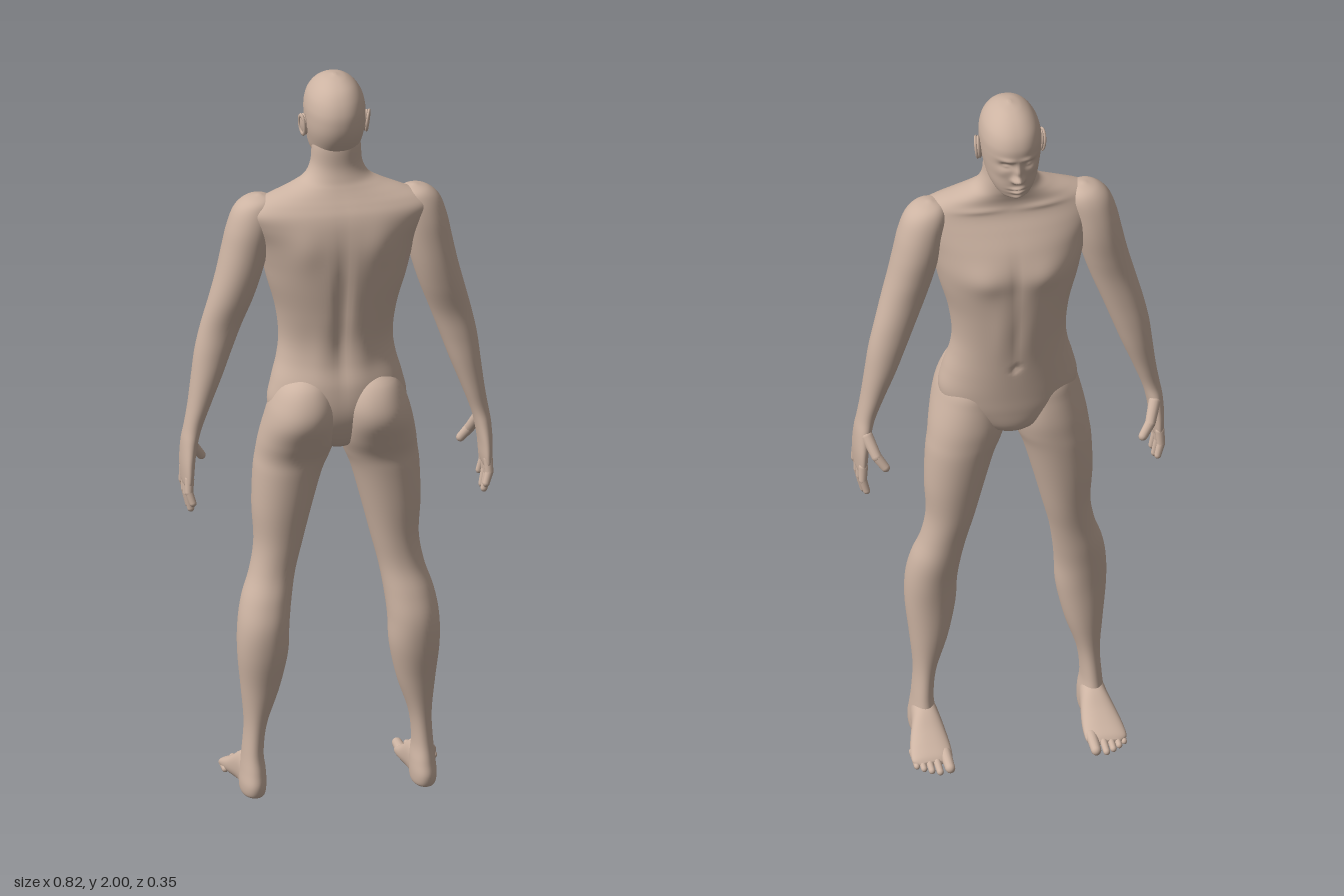
import * as THREE from 'three';

const skin = new THREE.MeshStandardMaterial({ color: 0xccb3a2 });
skin.name = 'skin';

// Catmull-Rom blend of a table of cross-section rows, u from 0 to 1
function sampleRows(rows, u) {
  const f = u * (rows.length - 1);
  const i = Math.min(Math.floor(f), rows.length - 2);
  const t = f - i;
  const row = (k) => rows[Math.max(0, Math.min(rows.length - 1, k))];
  const [a, b, c, d] = [row(i - 1), row(i), row(i + 1), row(i + 2)];
  return b.map((p, k) => p + 0.5 * t * (c[k] - a[k]
    + t * (2 * a[k] - 5 * p + 4 * c[k] - d[k] + t * (3 * (p - c[k]) + d[k] - a[k]))));
}

// Soft swellings and hollows: [side (-1 front, 1 back), x, y, width, height, amount]
function relief(bumps, x, y, s) {
  let dz = 0;
  for (const [side, bx, by, w, h, amount] of bumps) {
    if (side * s <= 0) continue;
    const dx = (Math.abs(x) - bx) / w, dy = (y - by) / h;
    dz += side * amount * Math.abs(s) * Math.exp(-dx * dx - dy * dy);
  }
  return dz;
}

// Smooth closed skin over rows [position, x0, x1, low, high].
// Along 'y', low/high are front/back z. Along 'z', they are bottom/top y.
function loft(rows, { axis = 'y', side = 1, round = 2.1, rings = 70, segs = 48, bumps = [] } = {}) {
  const pos = [], index = [];
  const power = (v) => Math.sign(v) * Math.abs(v) ** (2 / round);
  for (let r = 0; r <= rings; r++) {
    const [p, x0, x1, lo, hi] = sampleRows(rows, r / rings);
    for (let k = 0; k < segs; k++) {
      const a = (k / segs) * Math.PI * 2, s = Math.sin(a);
      const x = (x0 + x1) / 2 + ((x1 - x0) / 2) * power(Math.cos(a));
      const v = (lo + hi) / 2 + ((hi - lo) / 2) * power(s);
      if (axis === 'y') pos.push(side * x, p, v + relief(bumps, x, p, s));
      else pos.push(side * x, v, p);
    }
  }
  // End caps meet at one centre point each
  const centre = (row) => {
    const [p, x0, x1, lo, hi] = row, x = side * (x0 + x1) / 2, v = (lo + hi) / 2;
    pos.push(...(axis === 'y' ? [x, p, v] : [x, v, p]));
    return pos.length / 3 - 1;
  };
  const start = centre(rows[0]), end = centre(rows[rows.length - 1]);
  // Keep faces outward whichever way the rows run
  const flip = (rows[0][0] < rows[rows.length - 1][0]) !== (axis === 'y') !== (side < 0);
  const tri = (a, b, c) => (flip ? index.push(a, b, c) : index.push(a, c, b));
  for (let k = 0; k < segs; k++) {
    const n = (k + 1) % segs, last = rings * segs;
    for (let r = 0; r < rings; r++) {
      const a = r * segs + k, b = r * segs + n;
      tri(a, b, a + segs);
      tri(b, b + segs, a + segs);
    }
    tri(start, n, k);
    tri(end, last + k, last + n);
  }
  // Signed volume decides the final winding
  let volume = 0;
  const v = (i) => new THREE.Vector3().fromArray(pos, i * 3);
  for (let i = 0; i < index.length; i += 3) {
    volume += v(index[i]).dot(v(index[i + 1]).cross(v(index[i + 2])));
  }
  if (volume < 0) index.reverse();
  const geo = new THREE.BufferGeometry();
  geo.setAttribute('position', new THREE.Float32BufferAttribute(pos, 3));
  geo.setIndex(index);
  geo.computeVertexNormals();
  return geo;
}

function add(parent, name, geo) {
  const mesh = new THREE.Mesh(geo, skin);
  mesh.name = name;
  parent.add(mesh);
  return mesh;
}

// Tapered rounded segments through a few points, for fingers and toes
function digit(parent, name, points, r, side) {
  const pts = points.map(([x, y, z]) => new THREE.Vector3(side * x, y, z));
  for (let i = 0; i < pts.length - 1; i++) {
    const dir = pts[i + 1].clone().sub(pts[i]), len = dir.length();
    const geo = new THREE.CapsuleGeometry(r * (1 - 0.14 * i), len, 6, 14, 4);
    const p = geo.attributes.position;
    for (let k = 0; k < p.count; k++) {
      const f = 1 - 0.14 * THREE.MathUtils.clamp(p.getY(k) / len + 0.5, 0, 1);
      p.setXYZ(k, p.getX(k) * f, p.getY(k), p.getZ(k) * f);
    }
    geo.applyQuaternion(new THREE.Quaternion().setFromUnitVectors(new THREE.Vector3(0, 1, 0), dir.normalize()));
    const mid = pts[i].clone().lerp(pts[i + 1], 0.5);
    add(parent, name, geo.translate(mid.x, mid.y, mid.z));
  }
}

// Rows symmetric about x = 0: [y, half width, front z, back z]
const symmetric = (rows) => rows.map(([y, w, f, b]) => [y, -w, w, f, b]);

const torsoRows = symmetric([
  [0.965, 0.004, 0.03, 0.05], [0.976, 0.045, -0.03, 0.09], [1.0, 0.1, -0.054, 0.112], [1.05, 0.165, -0.062, 0.135],
  [1.1, 0.183, -0.065, 0.145], [1.16, 0.172, -0.069, 0.142], [1.22, 0.156, -0.073, 0.127], [1.28, 0.15, -0.078, 0.125],
  [1.36, 0.16, -0.084, 0.138], [1.44, 0.182, -0.088, 0.15], [1.5, 0.196, -0.086, 0.156], [1.56, 0.212, -0.067, 0.157],
  [1.61, 0.236, -0.04, 0.152], [1.645, 0.247, -0.02, 0.143], [1.67, 0.222, -0.012, 0.13], [1.69, 0.175, -0.01, 0.118],
  [1.71, 0.122, -0.013, 0.107], [1.73, 0.086, -0.017, 0.098], [1.765, 0.068, -0.02, 0.09], [1.82, 0.063, -0.02, 0.09],
  [1.86, 0.05, -0.01, 0.08], [1.875, 0.005, 0.02, 0.03],
]);
const torsoBumps = [
  [-1, 0.085, 1.49, 0.055, 0.045, 0.012], [-1, 0, 1.47, 0.014, 0.08, -0.004], [-1, 0.09, 1.67, 0.06, 0.008, 0.004],
  [-1, 0, 1.2, 0.009, 0.009, -0.01], [-1, 0, 1.3, 0.01, 0.08, -0.003], [-1, 0.04, 1.32, 0.025, 0.09, 0.003],
  [1, 0, 1.38, 0.018, 0.17, -0.012], [1, 0.1, 1.56, 0.045, 0.06, 0.008], [1, 0.055, 1.25, 0.03, 0.08, 0.005],
];
const headRows = symmetric([
  [2.0, 0.004, 0.005, 0.018], [1.992, 0.03, -0.032, 0.052], [1.975, 0.053, -0.065, 0.084], [1.95, 0.07, -0.09, 0.105],
  [1.92, 0.078, -0.103, 0.117], [1.89, 0.079, -0.104, 0.119], [1.86, 0.077, -0.1, 0.114], [1.83, 0.072, -0.098, 0.101],
  [1.8, 0.065, -0.096, 0.08], [1.775, 0.053, -0.091, 0.05], [1.757, 0.036, -0.08, 0.0], [1.748, 0.004, -0.05, -0.04],
]);
const faceBumps = [
  [-1, 0, 1.85, 0.009, 0.02, 0.013], [-1, 0, 1.827, 0.011, 0.01, 0.02], [-1, 0.011, 1.822, 0.007, 0.007, 0.009],
  [-1, 0.031, 1.868, 0.015, 0.01, -0.011], [-1, 0.031, 1.866, 0.009, 0.005, 0.006], [-1, 0.028, 1.887, 0.02, 0.007, 0.005],
  [-1, 0, 1.794, 0.018, 0.005, 0.008], [-1, 0, 1.781, 0.016, 0.005, 0.007], [-1, 0, 1.7875, 0.02, 0.0025, -0.004],
  [-1, 0, 1.763, 0.018, 0.009, 0.008], [-1, 0.045, 1.845, 0.015, 0.015, 0.004],
];
// Limb rows: [y, inner x, outer x, front z, back z]
const armRows = [
  [1.688, 0.2, 0.21, 0.04, 0.05], [1.677, 0.172, 0.244, 0.005, 0.085], [1.65, 0.16, 0.272, -0.014, 0.1],
  [1.6, 0.168, 0.29, -0.025, 0.108], [1.54, 0.18, 0.303, -0.029, 0.108], [1.47, 0.198, 0.318, -0.025, 0.104],
  [1.4, 0.22, 0.336, -0.02, 0.094], [1.32, 0.25, 0.357, -0.02, 0.077], [1.25, 0.275, 0.372, -0.021, 0.074],
  [1.18, 0.3, 0.381, -0.019, 0.074], [1.1, 0.331, 0.391, -0.011, 0.071], [1.04, 0.353, 0.401, -0.007, 0.068],
  [1.0, 0.364, 0.408, -0.015, 0.074], [0.95, 0.373, 0.411, -0.025, 0.085], [0.91, 0.377, 0.41, -0.026, 0.09],
  [0.885, 0.382, 0.407, -0.02, 0.086], [0.875, 0.392, 0.398, 0.01, 0.06],
];
const legRows = [
  [1.19, 0.07, 0.1, 0.06, 0.1], [1.16, 0.03, 0.15, 0.0, 0.146], [1.11, 0.006, 0.178, -0.042, 0.172],
  [1.06, 0.003, 0.193, -0.053, 0.174], [1.0, 0.004, 0.206, -0.06, 0.148], [0.95, 0.018, 0.213, -0.06, 0.125],
  [0.9, 0.038, 0.219, -0.058, 0.118], [0.8, 0.065, 0.222, -0.05, 0.11], [0.7, 0.09, 0.217, -0.038, 0.102],
  [0.62, 0.11, 0.23, -0.026, 0.104], [0.55, 0.122, 0.253, -0.018, 0.123], [0.48, 0.13, 0.265, -0.008, 0.138],
  [0.4, 0.134, 0.266, 0.0, 0.135], [0.3, 0.155, 0.256, 0.003, 0.117], [0.2, 0.187, 0.247, 0.007, 0.104],
  [0.12, 0.196, 0.251, 0.0, 0.104], [0.07, 0.191, 0.256, -0.01, 0.115], [0.035, 0.19, 0.259, -0.01, 0.124],
  [0.008, 0.193, 0.256, -0.005, 0.118], [0.0, 0.205, 0.244, 0.02, 0.1],
];
// Foot rows: [z, inner x, outer x, bottom y, top y]
const footRows = [
  [0.1, 0.21, 0.24, 0.01, 0.05], [0.05, 0.192, 0.256, 0.0, 0.105], [0.0, 0.185, 0.263, 0.0, 0.1],
  [-0.05, 0.178, 0.277, 0.0, 0.067], [-0.09, 0.176, 0.284, 0.0, 0.045], [-0.118, 0.18, 0.283, 0.001, 0.031],
  [-0.13, 0.2, 0.265, 0.008, 0.02],
];
// Fingers, index to little: [base z, tip z, tip y]
const fingers = [[-0.014, -0.022, 0.835], [0.017, 0.02, 0.814], [0.047, 0.053, 0.815], [0.075, 0.087, 0.843]];
// Toes, big to little: [x, tip z, radius]
const toes = [[0.194, -0.16, 0.0155], [0.221, -0.165, 0.0105], [0.241, -0.155, 0.01], [0.259, -0.142, 0.0095], [0.275, -0.127, 0.009]];

export function createModel() {
  const figure = new THREE.Group();
  figure.name = 'figure';
  add(figure, 'torsoAndNeck', loft(torsoRows, { rings: 120, segs: 96, bumps: torsoBumps }));
  add(figure, 'head', loft(headRows, { rings: 110, segs: 128, round: 2.2, bumps: faceBumps }));

  for (const [side, label] of [[1, 'left'], [-1, 'right']]) {
    const limb = (part) => {
      const group = new THREE.Group();
      group.name = label + part;
      figure.add(group);
      return group;
    };

    // Ear: a flat lobe with a raised rim
    const ear = limb('Ear');
    add(ear, 'earLobe', new THREE.SphereGeometry(1, 20, 14).scale(0.009, 0.032, 0.018));
    const rim = new THREE.TorusGeometry(0.016, 0.004, 8, 24).scale(1, 1.7, 1).rotateY(Math.PI / 2);
    add(ear, 'earRim', rim.translate(side * 0.006, 0, 0));
    ear.position.set(side * 0.081, 1.864, 0.014);
    ear.rotation.set(0.15, -side * 0.3, -side * 0.08);

    // Arm, palm and fingers
    const arm = limb('Arm');
    add(arm, 'armAndPalm', loft(armRows, { side, rings: 90 }));
    for (const [z0, z1, y1] of fingers) {
      const mid = [0.396, (0.9 + y1) / 2, (z0 + z1) / 2];
      digit(arm, 'finger', [[0.394, 0.905, z0], mid, [0.387, y1, z1]], 0.0125, side);
    }
    digit(arm, 'thumb', [[0.382, 0.995, -0.005], [0.364, 0.95, -0.036], [0.343, 0.92, -0.047]], 0.016, side);

    // Leg, foot and toes
    const leg = limb('Leg');
    add(leg, 'leg', loft(legRows, { side, rings: 100, segs: 56 }));
    add(leg, 'foot', loft(footRows, { side, axis: 'z', rings: 40, round: 2.3 }));
    for (const [x, z, r] of toes) {
      digit(leg, 'toe', [[x, r + 0.006, z + 0.06], [x, r, z]], r, side);
    }
  }
  return figure;
}
